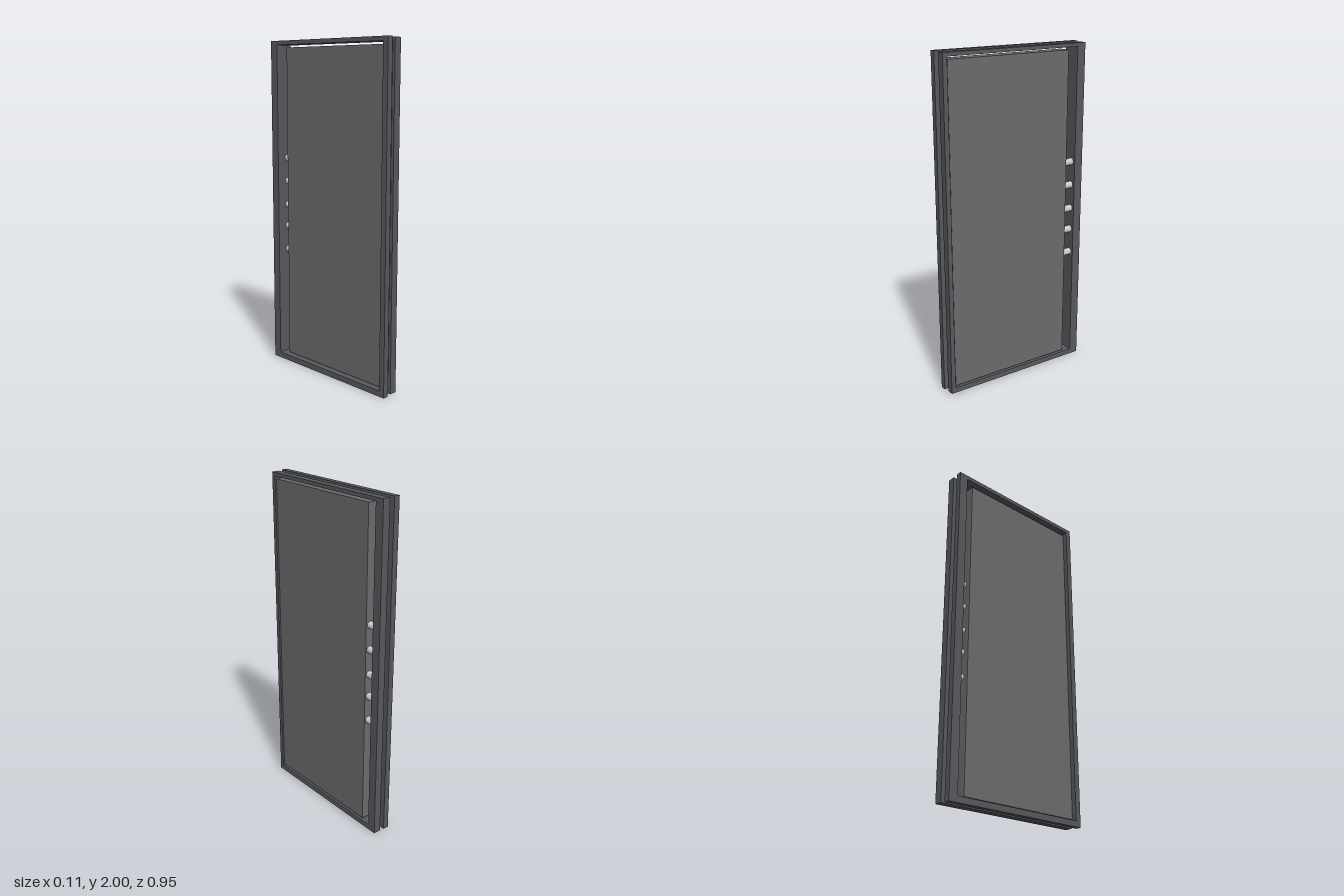
import * as THREE from 'three';

const OPENING = { z0: -0.42, z1: 0.44, y0: 0.035, y1: 1.975 };

const rectangle = (PathType, { z0, z1, y0, y1 }) =>
  new PathType([[z0, y0], [z1, y0], [z1, y1], [z0, y1]].map(([z, y]) => new THREE.Vector2(z, y)));

// Rectangular ring around the door opening, spanning x0 to x1
function ring(name, x0, x1, outer, material) {
  const shape = rectangle(THREE.Shape, outer);
  shape.holes.push(rectangle(THREE.Path, OPENING));
  const geometry = new THREE.ExtrudeGeometry(shape, { depth: x1 - x0, bevelEnabled: false });
  geometry.rotateY(-Math.PI / 2).translate(x1, 0, 0);
  const mesh = new THREE.Mesh(geometry, material);
  mesh.name = name;
  return mesh;
}

export function createModel() {
  const group = new THREE.Group();
  group.name = 'securityDoor';
  const frameMaterial = new THREE.MeshStandardMaterial({ color: 0x58595e });
  const leafMaterial = new THREE.MeshStandardMaterial({ color: 0x6c6c6c });
  const boltMaterial = new THREE.MeshStandardMaterial({ color: 0xcccccc });

  // Frame: two flanges with a grooved neck between them
  const frame = new THREE.Group();
  frame.name = 'doorFrame';
  frame.add(
    ring('rearFlange', -0.055, -0.02, { z0: -0.475, z1: 0.475, y0: 0, y1: 2 }, frameMaterial),
    ring('frameNeck', -0.02, 0.01, { z0: -0.44, z1: 0.45, y0: 0.03, y1: 1.98 }, frameMaterial),
    ring('frontFlange', 0.01, 0.055, { z0: -0.475, z1: 0.467, y0: 0.003, y1: 1.997 }, frameMaterial),
  );
  group.add(frame);

  // Flat door leaf, set inside the frame with a gap on the lock side
  const leaf = new THREE.Mesh(new THREE.BoxGeometry(0.078, 1.915, 0.795), leafMaterial);
  leaf.name = 'doorLeaf';
  leaf.position.set(0.009, 1.0025, 0.0375);
  group.add(leaf);

  // Lock bolts bridging the gap to the jamb
  const boltGeometry = new THREE.CylinderGeometry(0.021, 0.021, 0.08, 32).rotateX(Math.PI / 2);
  [0.71, 0.86, 0.995, 1.145, 1.29].forEach((y, i) => {
    const bolt = new THREE.Mesh(boltGeometry, boltMaterial);
    bolt.name = `lockBolt${i + 1}`;
    bolt.position.set(0.02, y, -0.39);
    group.add(bolt);
  });

  return group;
}
